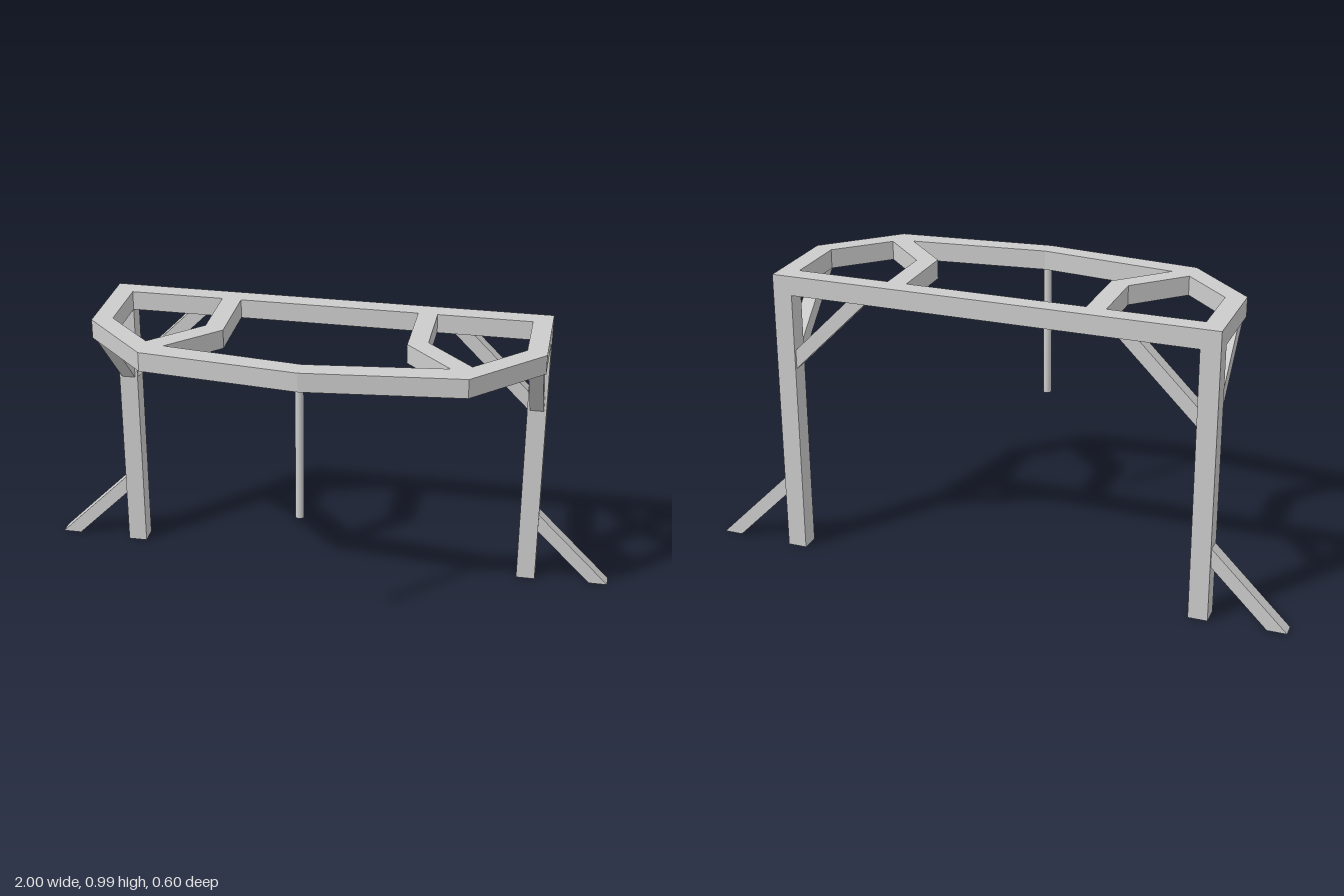
import * as THREE from 'three';

export function createModel() {
  const model = new THREE.Group();
  const grey = new THREE.MeshStandardMaterial({ color: 0xcccccc });
  grey.name = 'light grey';

  const add = (name, geometry, x = 0, y = 0, z = 0) => {
    const mesh = new THREE.Mesh(geometry, grey);
    mesh.name = name;
    mesh.position.set(x, y, z);
    model.add(mesh);
    return mesh;
  };
  const points = (list) => list.map(([x, y]) => new THREE.Vector2(x, y));
  const mirrored = (list) => list.map(([x, y]) => [-x, y]);

  const top = 0.985, beam = 0.065, under = top - beam;
  const outer = 0.745, inner = outer - beam, postX = outer - beam / 2;
  const back = -0.3, backZ = back + beam / 2;

  // Top frame: one outline in plan (x, z) with three openings
  const outline = [[-outer, back], [outer, back], [outer, 0.022], [0.523, 0.244],
    [0, 0.298], [-0.523, 0.244], [-outer, 0.022]];
  const sideOpening = [[inner, -0.235], [inner, -0.005], [0.523, 0.152],
    [0.366, -0.005], [0.366, -0.235]];
  const middleOpening = [[-0.301, -0.235], [-0.301, 0.022], [-0.458, 0.179],
    [0, 0.233], [0.458, 0.179], [0.301, 0.022], [0.301, -0.235]];
  const plan = new THREE.Shape(points(outline));
  for (const hole of [sideOpening, mirrored(sideOpening), middleOpening])
    plan.holes.push(new THREE.Path(points(hole)));
  const frame = new THREE.ExtrudeGeometry(plan, { depth: beam, bevelEnabled: false });
  frame.rotateX(Math.PI / 2);
  add('topFrame', frame, 0, top, 0);

  // Diagonal brace: profile (distance from post, height) with a centred width
  const brace = (profile, width) =>
    new THREE.ExtrudeGeometry(new THREE.Shape(points(profile)), { depth: width, bevelEnabled: false })
      .translate(0, 0, -width / 2);
  const upper = [[0, 0.662], [0, 0.727], [0.193, under], [0.258, under]];
  const foot = [[0, 0.19], [0, 0.255], [0.255, 0], [0.19, 0]];

  for (const side of [1, -1]) {
    const label = side > 0 ? 'left' : 'right';
    add(label + 'Post', new THREE.BoxGeometry(beam, under, beam), side * postX, under / 2, backZ);
    add(label + 'BeamBrace', brace(side > 0 ? mirrored(upper) : upper, 0.047), side * inner, 0, backZ);
    add(label + 'ForwardBrace', brace(upper, 0.047).rotateY(-Math.PI / 2), side * postX, 0, back + beam);
    add(label + 'FootBrace', brace(side > 0 ? foot : mirrored(foot), 0.047), side * outer, 0, backZ);
  }

  // Hanging rod below the front tip
  add('hangingRod', new THREE.CylinderGeometry(0.014, 0.014, under - 0.46, 16), 0, (under + 0.46) / 2, 0.267);

  return model;
}
